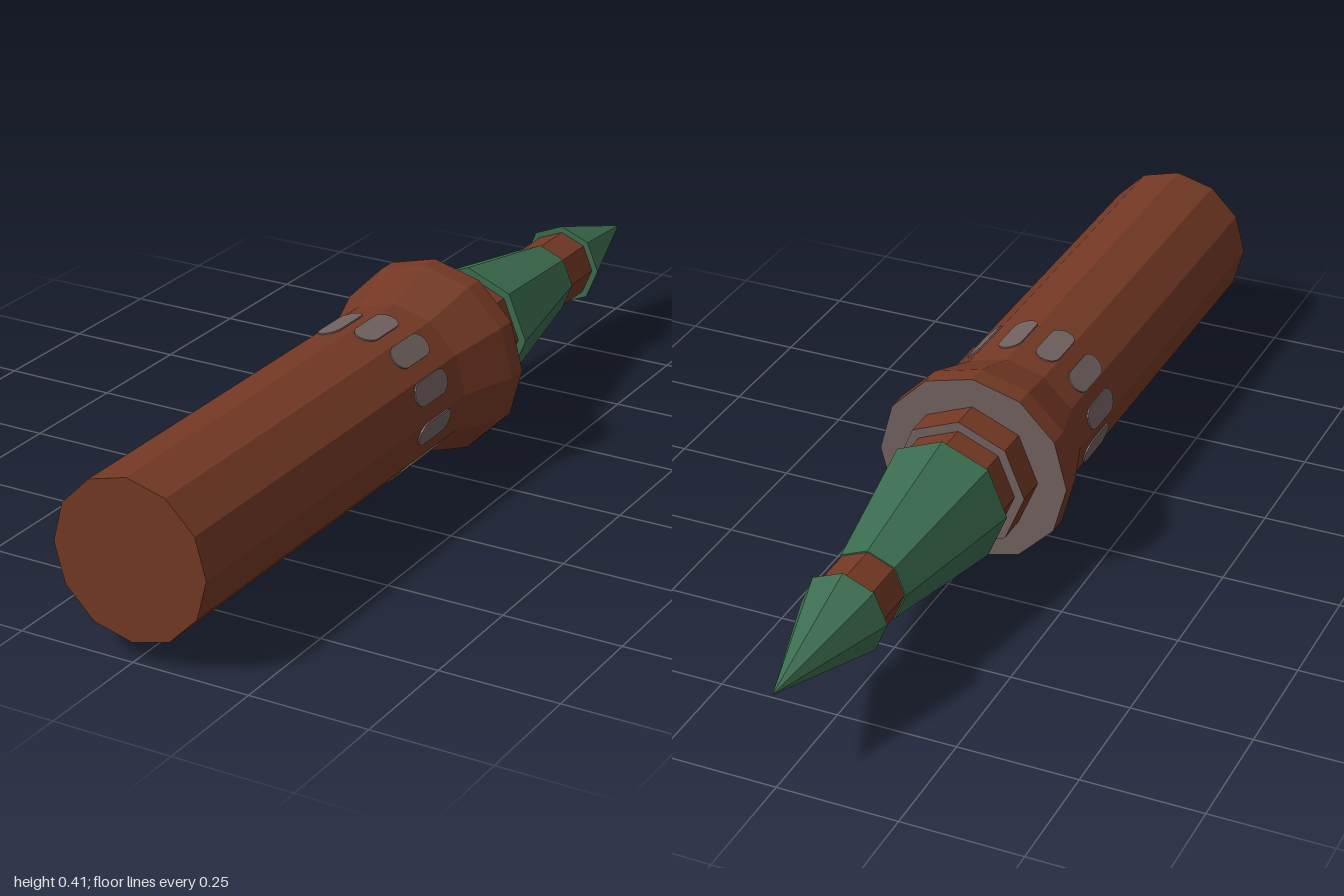
import * as THREE from 'three';

const mat = (name, color) => {
  const m = new THREE.MeshStandardMaterial({ color, flatShading: true });
  m.name = name;
  return m;
};

export function createModel() {
  const brown = mat('brown', 0x733824);
  const green = mat('green', 0x3b6c4e);
  const grey = mat('grey', 0x716160);

  const model = new THREE.Group();
  model.name = 'torch';
  const axis = new THREE.Group(); // long axis runs along z
  axis.name = 'shaftAssembly';
  axis.position.y = 0.207;
  model.add(axis);

  // Faceted section from z0 (front) to z1 (back)
  const section = (name, z0, z1, r0, r1, sides, side, back = side) => {
    const geo = new THREE.CylinderGeometry(r1, r0, z0 - z1, sides);
    geo.rotateX(-Math.PI / 2);
    geo.translate(0, 0, (z0 + z1) / 2);
    const mesh = new THREE.Mesh(geo, [side, back, side]);
    mesh.name = name;
    axis.add(mesh);
  };

  // Handle, flared collar and stepped rings with grey back faces
  section('handle', 1, 0.04, 0.166, 0.166, 12, brown);
  section('collarFlare', 0.04, -0.085, 0.166, 0.207, 12, brown);
  section('collarRim', -0.085, -0.13, 0.207, 0.207, 12, brown, grey);
  section('largeRing', -0.13, -0.197, 0.144, 0.144, 8, brown, grey);
  section('smallRing', -0.197, -0.272, 0.123, 0.123, 8, brown, grey);

  // Tapered green body, neck and pointed tip
  section('taperedBody', -0.272, -0.607, 0.14, 0.08, 8, green);
  section('neck', -0.607, -0.71, 0.077, 0.077, 8, brown);
  section('tip', -0.71, -1, 0.091, 0, 8, green);

  // Rounded grey inlays around the handle, one on each facet
  const w = 0.026, straight = 0.037;
  const shape = new THREE.Shape();
  shape.absarc(0, straight, w, 0, Math.PI, false);
  shape.absarc(0, -straight, w, Math.PI, Math.PI * 2, false);
  const plate = new THREE.ExtrudeGeometry(shape, { depth: 0.005, bevelEnabled: false, curveSegments: 6 });
  plate.rotateX(-Math.PI / 2);
  plate.translate(-0.016, 0.166 * Math.cos(Math.PI / 12) - 0.002, 0.157);
  for (let i = 0; i < 12; i++) {
    const inlay = new THREE.Mesh(plate, grey);
    inlay.name = 'inlay' + (i + 1);
    inlay.rotation.z = ((i + 0.5) * Math.PI) / 6;
    axis.add(inlay);
  }

  return model;
}
